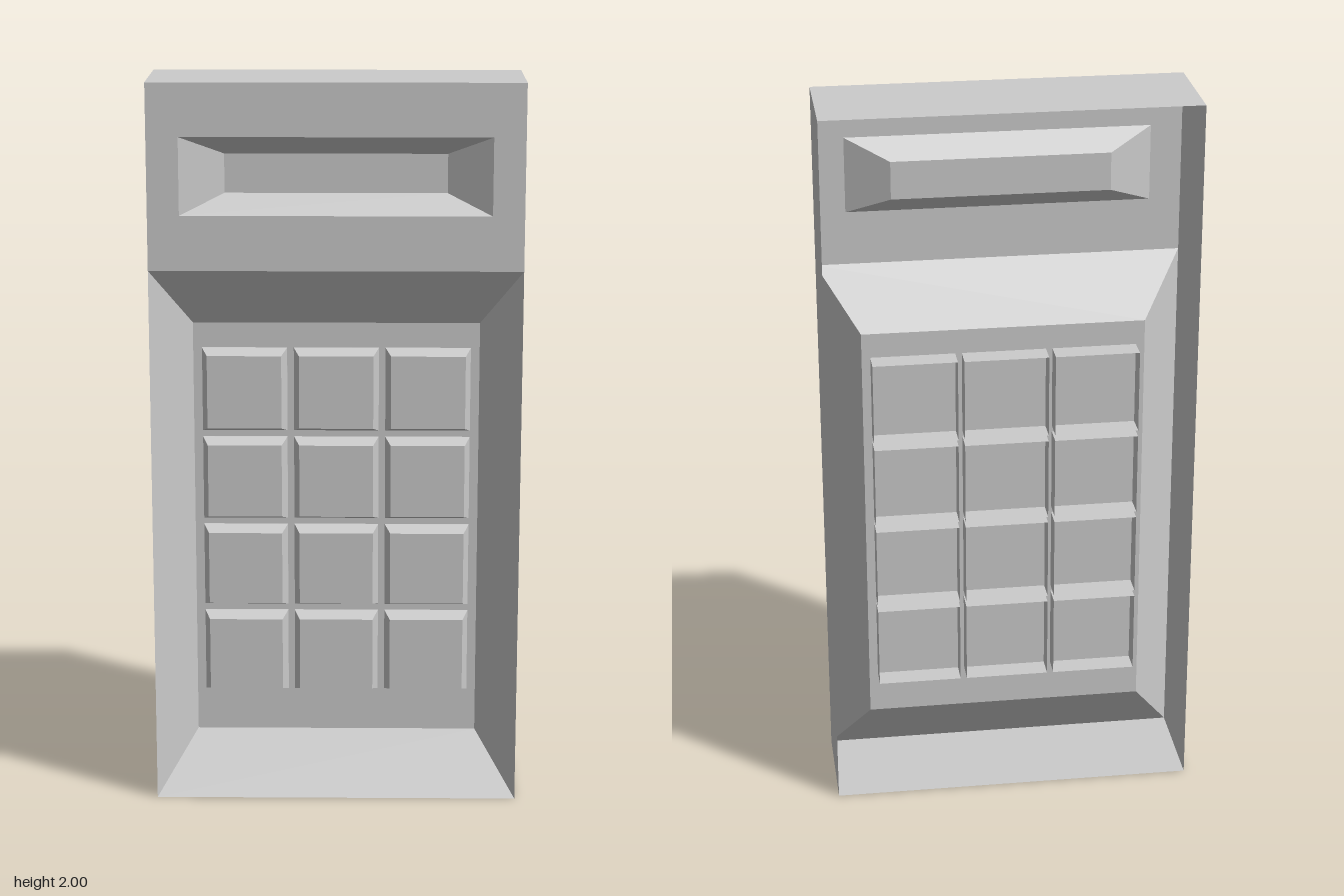
import * as THREE from 'three';

const material = new THREE.MeshStandardMaterial({ color: 0xcccccc, flatShading: true, side: THREE.DoubleSide });

// Corners of an upright rectangle, counter-clockwise seen from the front
const rect = (x0, x1, y0, y1, z) => [[x0, y0, z], [x1, y0, z], [x1, y1, z], [x0, y1, z]];

// Joins successive rectangles with quads; the last one may be closed by a face
function loft(name, rings, capped) {
  const pos = [];
  const quad = (a, b, c, d) => pos.push(...a, ...b, ...c, ...a, ...c, ...d);
  for (let r = 0; r < rings.length - 1; r++) {
    const a = rings[r], b = rings[r + 1];
    for (let i = 0; i < 4; i++) {
      const j = (i + 1) % 4;
      quad(a[i], a[j], b[j], b[i]);
    }
  }
  if (capped) quad(...rings[rings.length - 1]);
  const geometry = new THREE.BufferGeometry();
  geometry.setAttribute('position', new THREE.Float32BufferAttribute(pos, 3));
  geometry.computeVertexNormals();
  const mesh = new THREE.Mesh(geometry, material);
  mesh.name = name;
  return mesh;
}

export function createModel() {
  const model = new THREE.Group();
  model.name = 'keypad';

  // Casing walls, open at the back
  model.add(loft('casing', [
    rect(-0.5, 0.5, 0, 2, -0.15),
    rect(-0.5, 0.5, 0, 2, 0.15),
  ], false));

  // Upper front with the tapered display slot
  model.add(loft('displayFront', [
    rect(-0.5, 0.5, 1.5, 2, 0.15),
    rect(-0.415, 0.415, 1.648, 1.857, 0.15),
    rect(-0.297, 0.297, 1.7, 1.805, 0.087),
  ], true));

  // Sloped recess leading to the key panel
  model.add(loft('keyPanel', [
    rect(-0.5, 0.5, 0, 1.5, 0.15),
    rect(-0.39, 0.39, 0.165, 1.337, 0.037),
  ], true));

  // Hollow bevelled keys pushed through the panel, 3 columns by 4 rows
  const keys = new THREE.Group();
  keys.name = 'keys';
  const half = 0.116, top = 0.101;
  for (let row = 0; row < 4; row++) {
    for (let col = 0; col < 3; col++) {
      const key = loft('key', [
        rect(-half, half, -half, half, -0.027),
        rect(-half, half, -half, half, 0.04),
        rect(-top, top, -top, top, 0.082),
      ], true);
      key.position.set((col - 1) * 0.25, 1.152 - row * 0.25, 0);
      keys.add(key);
    }
  }
  model.add(keys);
  return model;
}
